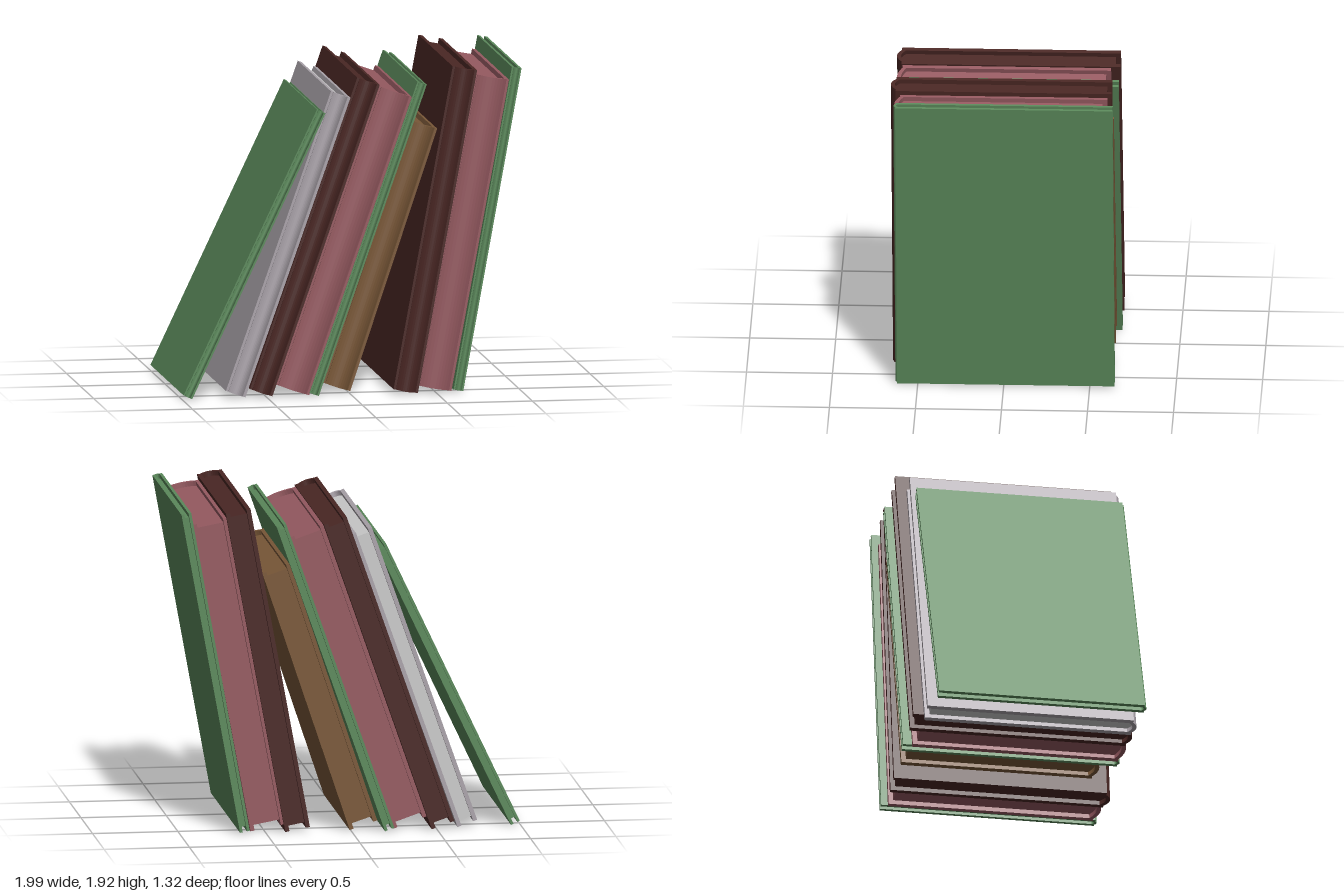
import * as THREE from 'three';

// Closed outline in plan, given as [x, z]; extruded upward along y.
function extrudeUp(points, height) {
  const shape = new THREE.Shape(points.map(([x, z]) => new THREE.Vector2(x, -z)));
  const geo = new THREE.ExtrudeGeometry(shape, { depth: height, bevelEnabled: false });
  return geo.rotateX(-Math.PI / 2);
}

// Bowed line from x0 to x1, bulging forward from z.
function bow(x0, x1, z, bulge, steps = 10) {
  return Array.from({ length: steps + 1 }, (_, i) => {
    const k = i / steps;
    return [x0 + (x1 - x0) * k, z + bulge * 4 * k * (1 - k)];
  });
}

const GREEN = 0x5c8a5c, GREY = 0xaaa3aa, DARK = 0x4a2724, PINK = 0x965a61, BROWN = 0x7a5838;

// x, y: lower right corner; lean in degrees; back, front: z range
const BOOKS = [
  { name: 'greenBookLeft', color: GREEN, x: -0.943, y: 0.008, lean: 25.3, t: 0.056, h: 1.836, back: -0.575, front: 0.65 },
  { name: 'greyBook', color: GREY, pages: 0xbdbdbd, x: -0.626, y: 0.008, lean: 19.5, t: 0.122, h: 1.851, back: -0.6, front: 0.64 },
  { name: 'darkBookLeft', color: DARK, x: -0.467, y: 0.01, lean: 19.2, t: 0.14, h: 1.921, back: -0.66, front: 0.64 },
  { name: 'pinkBookLeft', color: PINK, x: -0.25, y: 0.01, lean: 19.2, t: 0.206, h: 1.84, back: -0.607, front: 0.635 },
  { name: 'greenBookMiddle', color: GREEN, x: -0.193, y: 0.005, lean: 19.3, t: 0.058, h: 1.921, back: -0.66, front: 0.62 },
  { name: 'brownBook', color: BROWN, x: 0.01, y: 0.012, lean: 18.5, t: 0.17, h: 1.613, back: -0.63, front: 0.525 },
  { name: 'darkBookRight', color: DARK, x: 0.387, y: 0.01, lean: 10.45, t: 0.146, h: 1.92, back: -0.63, front: 0.655 },
  { name: 'pinkBookRight', color: PINK, x: 0.588, y: 0.015, lean: 10.55, t: 0.204, h: 1.851, back: -0.607, front: 0.63 },
  { name: 'greenBookRight', color: GREEN, x: 0.655, y: 0.015, lean: 10.3, t: 0.058, h: 1.918, back: -0.645, front: 0.63 },
];

function makeBook({ name, color, pages = color, x, y, lean, t, h, back, front }) {
  const book = new THREE.Group();
  book.name = name;
  const board = Math.min(0.024, t * 0.28);
  const bulge = Math.min(0.03, t * 0.2);
  const edge = front - bulge;
  const inset = 0.028;
  const material = new THREE.MeshStandardMaterial({ color });

  // Two boards with a hinge line beside the bowed spine
  const outline = [
    [-t, back], [-t, edge], [-t + board * 0.6, edge],
    ...bow(-t + board * 0.7, -board * 0.7, edge - 0.004, bulge + 0.004),
    [-board * 0.6, edge], [0, edge], [0, back], [-board, back],
    ...bow(-board, -t + board, edge - board, bulge),
    [-t + board, back],
  ];
  const cover = new THREE.Mesh(extrudeUp(outline, h), material);
  cover.name = 'cover';

  // Page block set in from the top, bottom and open edge
  const block = [
    [-t + board, back + inset],
    ...bow(-t + board, -board, edge - board, bulge),
    [-board, back + inset],
  ];
  const pageBlock = new THREE.Mesh(extrudeUp(block, h - inset * 2),
    new THREE.MeshStandardMaterial({ color: pages }));
  pageBlock.position.y = inset;
  pageBlock.name = 'pages';

  book.add(cover, pageBlock);
  book.position.set(x, y, 0);
  book.rotation.z = -THREE.MathUtils.degToRad(lean);
  return book;
}

export function createModel() {
  const group = new THREE.Group();
  group.name = 'leaningBooks';
  for (const spec of BOOKS) group.add(makeBook(spec));
  return group;
}
